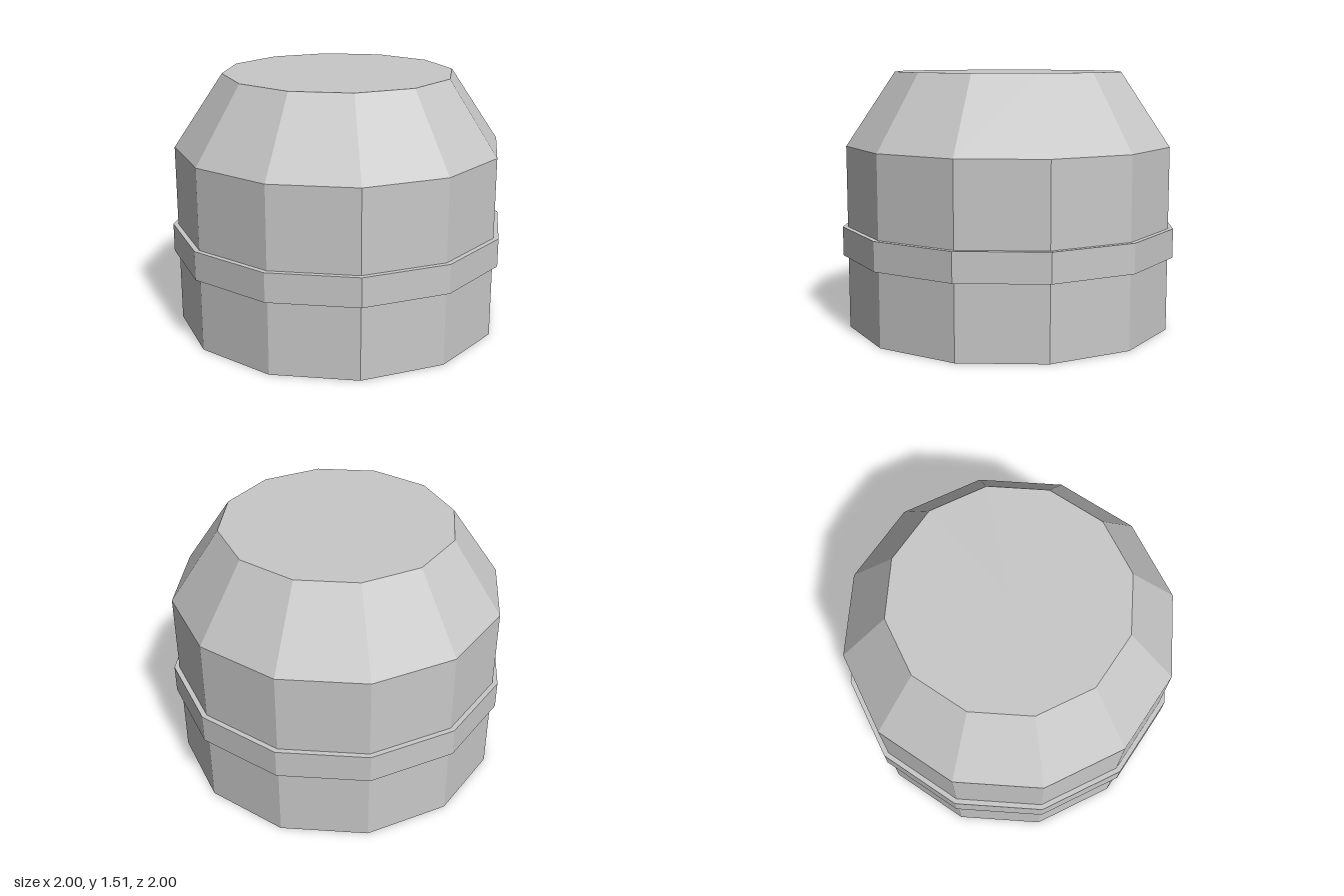
import * as THREE from 'three';

const SIDES = 12;

export function createModel() {
  const group = new THREE.Group();
  const grey = new THREE.MeshStandardMaterial({ color: 0xc8c8c8, flatShading: true, side: THREE.DoubleSide });
  grey.name = 'light grey';

  // Twelve-sided ring between two heights, optionally capped
  function ring(name, rTop, rBottom, y0, y1, open) {
    const geometry = new THREE.CylinderGeometry(rTop, rBottom, y1 - y0, SIDES, 1, open);
    const mesh = new THREE.Mesh(geometry, grey);
    mesh.position.y = (y0 + y1) / 2;
    mesh.name = name;
    group.add(mesh);
  }

  // Hollow skirt, open underneath
  ring('lowerSkirt', 0.97, 0.97, 0, 0.435, true);
  // Closed band; its underside is the ceiling of the skirt
  ring('band', 1, 1, 0.435, 0.605, false);
  // Straight upper wall
  ring('upperWall', 0.97, 0.97, 0.605, 1.08, true);
  // Sloping shoulder
  ring('shoulder', 0.68, 0.97, 1.08, 1.51, true);

  // Flat top
  const top = new THREE.Mesh(new THREE.CircleGeometry(0.68, SIDES), grey);
  top.rotation.x = -Math.PI / 2;
  top.position.y = 1.51;
  top.name = 'topPlate';
  group.add(top);

  return group;
}
